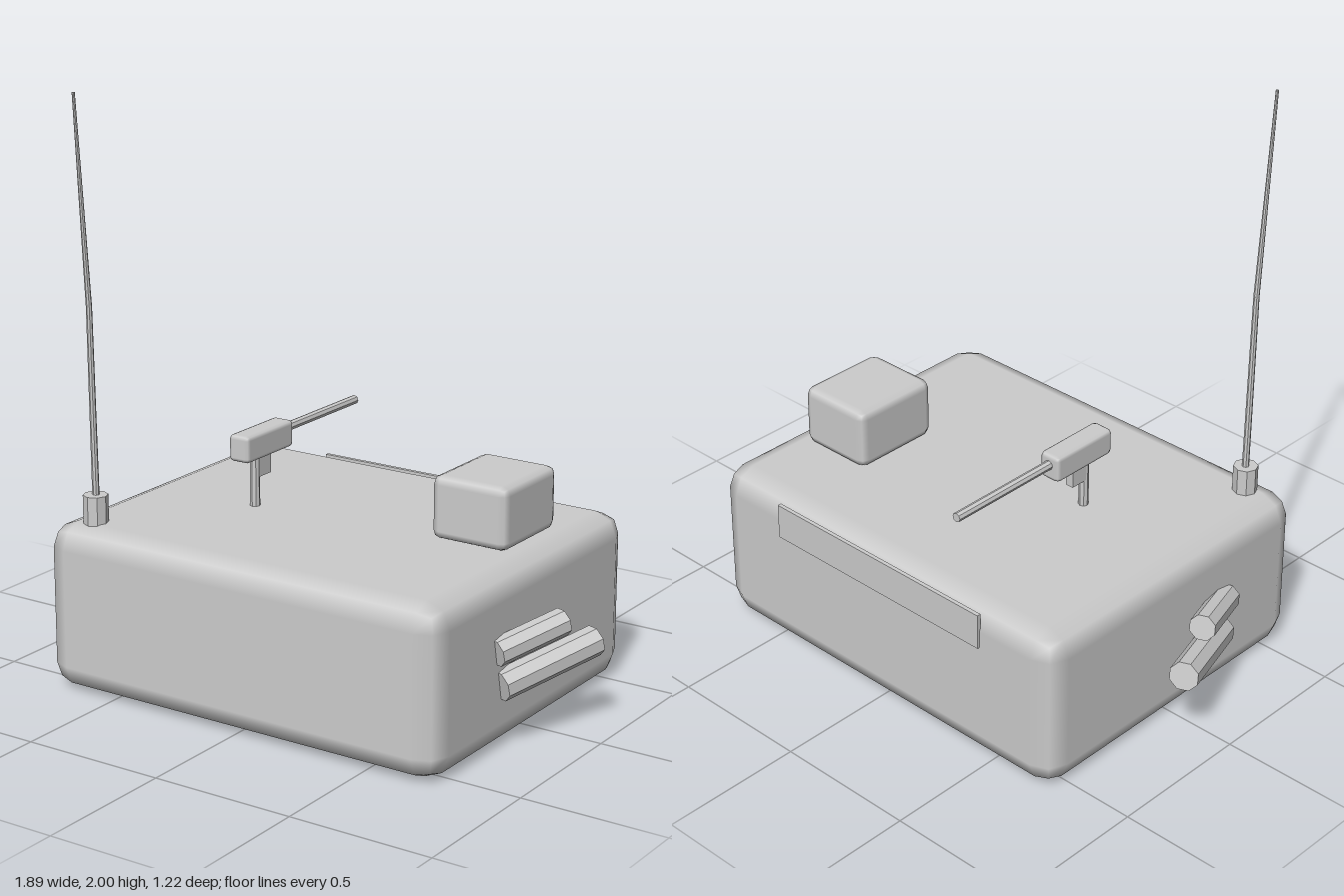
import * as THREE from 'three';
import { RoundedBoxGeometry } from 'three/addons/geometries/RoundedBoxGeometry.js';

export function createModel() {
  const model = new THREE.Group();
  model.name = 'turret';
  const grey = new THREE.MeshStandardMaterial({ color: 0xcccccc });
  grey.name = 'plain grey';

  const add = (name, geometry, parent = model) => {
    const mesh = new THREE.Mesh(geometry, grey);
    mesh.name = name;
    parent.add(mesh);
    return mesh;
  };

  // Bevelled or plain box given by its min and max corners
  const box = (name, min, max, radius, parent) => {
    const s = max.map((v, i) => v - min[i]);
    const g = radius ? new RoundedBoxGeometry(...s, 1, radius) : new THREE.BoxGeometry(...s);
    add(name, g, parent).position.set(...max.map((v, i) => (v + min[i]) / 2));
  };

  // Faceted, optionally tapered rod between two points
  const rod = (name, from, to, r0, r1 = r0, sides = 8, parent = model) => {
    const a = new THREE.Vector3(...from), b = new THREE.Vector3(...to);
    const dir = b.clone().sub(a);
    const g = new THREE.CylinderGeometry(r1, r0, dir.length(), sides).toNonIndexed();
    g.computeVertexNormals();
    const mesh = add(name, g, parent);
    mesh.position.copy(a).add(b).multiplyScalar(0.5);
    mesh.quaternion.setFromUnitVectors(new THREE.Vector3(0, 1, 0), dir.normalize());
  };

  // Main hull, roof crate and rear plate
  box('hull', [-0.76, 0, -0.6], [0.76, 0.575, 0.61], 0.085);
  box('roofCrate', [0.38, 0.575, -0.29], [0.66, 0.79, 0.04], 0.03);
  box('rearPlate', [-0.46, 0.43, -0.609], [0.455, 0.555, -0.595]);

  // Roof gun: post, bracket, receiver and barrel
  const gun = new THREE.Group();
  gun.name = 'roofGun';
  model.add(gun);
  rod('gunPost', [-0.29, 0.56, 0.07], [-0.29, 0.76, 0.07], 0.017, 0.017, 8, gun);
  box('gunBracket', [-0.305, 0.675, 0], [-0.275, 0.76, 0.065], 0, gun);
  box('gunReceiver', [-0.33, 0.745, -0.1], [-0.25, 0.838, 0.163], 0.015, gun);
  rod('gunBarrel', [-0.29, 0.802, -0.09], [-0.29, 0.802, -0.525], 0.016, 0.016, 8, gun);

  // Whip antenna bending towards the front
  rod('antennaBase', [-0.62, 0.57, 0.503], [-0.62, 0.668, 0.503], 0.042);
  rod('antennaLower', [-0.62, 0.66, 0.501], [-0.62, 1.3, 0.512], 0.012, 0.01);
  rod('antennaUpper', [-0.62, 1.3, 0.512], [-0.62, 2, 0.562], 0.01, 0.005);

  // Pair of angled smoke launchers on each side
  for (const [side, s] of [['left', 1], ['right', -1]]) {
    rod(side + 'UpperLauncher', [s * 0.76, 0.335, 0.255], [s * 0.858, 0.384, 0.01], 0.046);
    rod(side + 'LowerLauncher', [s * 0.76, 0.216, 0.227], [s * 0.9, 0.287, -0.126], 0.051);
  }
  return model;
}
